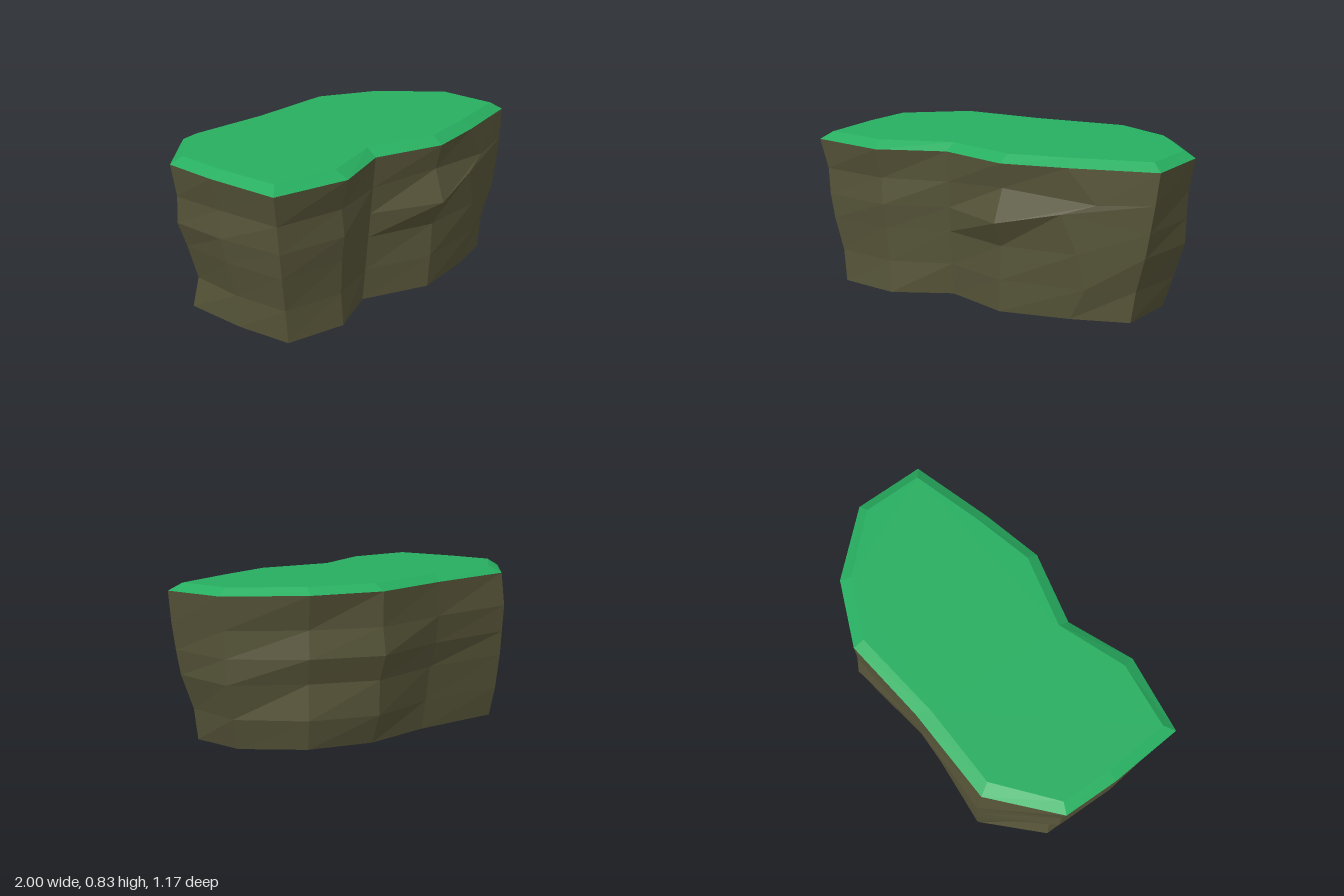
import * as THREE from 'three';

// Outlines as [x, z], running from the right-hand tip along the back, left side and front
const FOOT = [[-0.89, -0.15], [-0.64, -0.43], [-0.13, -0.42], [0.27, -0.47], [0.6, -0.36], [0.83, -0.1], [0.84, 0.22],
  [0.56, 0.34], [0.2, 0.445], [-0.18, 0.35], [-0.47, 0.52], [-0.81, 0.5], [-0.87, 0.2]];
const RIM = [[-1, -0.15], [-0.7, -0.45], [-0.17, -0.5], [0.3, -0.58], [0.66, -0.45], [0.97, -0.15], [1, 0.23],
  [0.57, 0.39], [0.24, 0.49], [-0.16, 0.42], [-0.5, 0.585], [-0.93, 0.55], [-0.985, 0.15]];
const CROWN = [[-0.94, -0.13], [-0.66, -0.39], [-0.2, -0.43], [0.3, -0.52], [0.63, -0.4], [0.915, -0.13], [0.94, 0.19],
  [0.56, 0.33], [0.24, 0.43], [-0.16, 0.36], [-0.52, 0.52], [-0.88, 0.5], [-0.93, 0.15]];

// Rock layers: height and how far each corner bulges out (+) or in (-)
const LAYERS = [
  { y: 0.17, bulge: [-0.05, 0.02, 0, 0.035, 0.02, 0.02, -0.01, -0.01, 0, 0, -0.02, -0.015, -0.02] },
  { y: 0.35, bulge: [-0.02, 0.03, 0, 0.02, -0.02, 0.04, 0.02, 0.01, -0.01, 0, -0.02, 0, 0] },
  { y: 0.48, bulge: [0.01, 0.03, 0.02, 0.05, 0.01, 0.02, 0.02, 0.04, 0.05, 0, -0.01, 0, 0.01] },
  { y: 0.62, bulge: [-0.01, 0.03, 0.02, 0.015, -0.03, 0, 0.015, -0.04, -0.02, 0, -0.03, -0.015, -0.02] },
];

// Lift an outline to a height that tilts slightly along z
const ring = (outline, y, tilt) => outline.map(([x, z]) => [x, y - tilt * z, z]);

function rockLayer({ y, bulge }) {
  const t = y / 0.785;
  const n = FOOT.length;
  return RIM.map(([rx, rz], i) => {
    const a = RIM[(i + n - 1) % n], b = RIM[(i + 1) % n];
    const tx = b[0] - a[0], tz = b[1] - a[1], len = Math.hypot(tx, tz);
    return [
      FOOT[i][0] + (rx - FOOT[i][0]) * t + (tz / len) * bulge[i],
      y,
      FOOT[i][1] + (rz - FOOT[i][1]) * t - (tx / len) * bulge[i],
    ];
  });
}

// Join stacked rings with walls
function walls(rings) {
  const out = [];
  for (let r = 0; r < rings.length - 1; r++) {
    const lo = rings[r], hi = rings[r + 1];
    lo.forEach((a, i) => {
      const j = (i + 1) % lo.length;
      out.push(lo[j], a, hi[i], lo[j], hi[i], hi[j]);
    });
  }
  return out;
}

// Fill a ring with triangles facing up (1) or down (-1)
function cap(points, facing) {
  const flat = points.map(([x, , z]) => new THREE.Vector2(x, z));
  const out = [];
  for (const tri of THREE.ShapeUtils.triangulateShape(flat, [])) {
    const [a, b, c] = tri.map((i) => points[i]);
    const up = (b[2] - a[2]) * (c[0] - a[0]) - (b[0] - a[0]) * (c[2] - a[2]);
    if (up * facing > 0) out.push(a, b, c);
    else out.push(a, c, b);
  }
  return out;
}

function facetedMesh(name, corners, material) {
  const geometry = new THREE.BufferGeometry();
  geometry.setAttribute('position', new THREE.Float32BufferAttribute(corners.flat(), 3));
  geometry.computeVertexNormals();
  const mesh = new THREE.Mesh(geometry, material);
  mesh.name = name;
  return mesh;
}

export function createModel() {
  const rock = new THREE.MeshStandardMaterial({ color: 0x575539 });
  rock.name = 'rock brown';
  const grass = new THREE.MeshStandardMaterial({ color: 0x27ae60 });
  grass.name = 'grass green';

  const foot = ring(FOOT, 0.0104, 0.02);
  const rim = ring(RIM, 0.7875, 0.0165);
  const crown = ring(CROWN, 0.825, 0.0135);

  const layers = LAYERS.map(rockLayer);
  // Pinched ledge on the front left
  layers[0][7][0] = 0.65;
  layers[1][7][0] = 0.62;
  layers[2][7] = [0.55, 0.55, 0.41];
  layers[3][7] = [0.71, 0.605, 0.34];
  layers[3][8][1] = 0.65;

  const model = new THREE.Group();
  model.name = 'grassyCliff';
  model.add(
    facetedMesh('cliffRock', [...walls([foot, ...layers, rim]), ...cap(foot, -1)], rock),
    facetedMesh('grassTop', [...walls([rim, crown]), ...cap(crown, 1)], grass),
  );
  return model;
}
